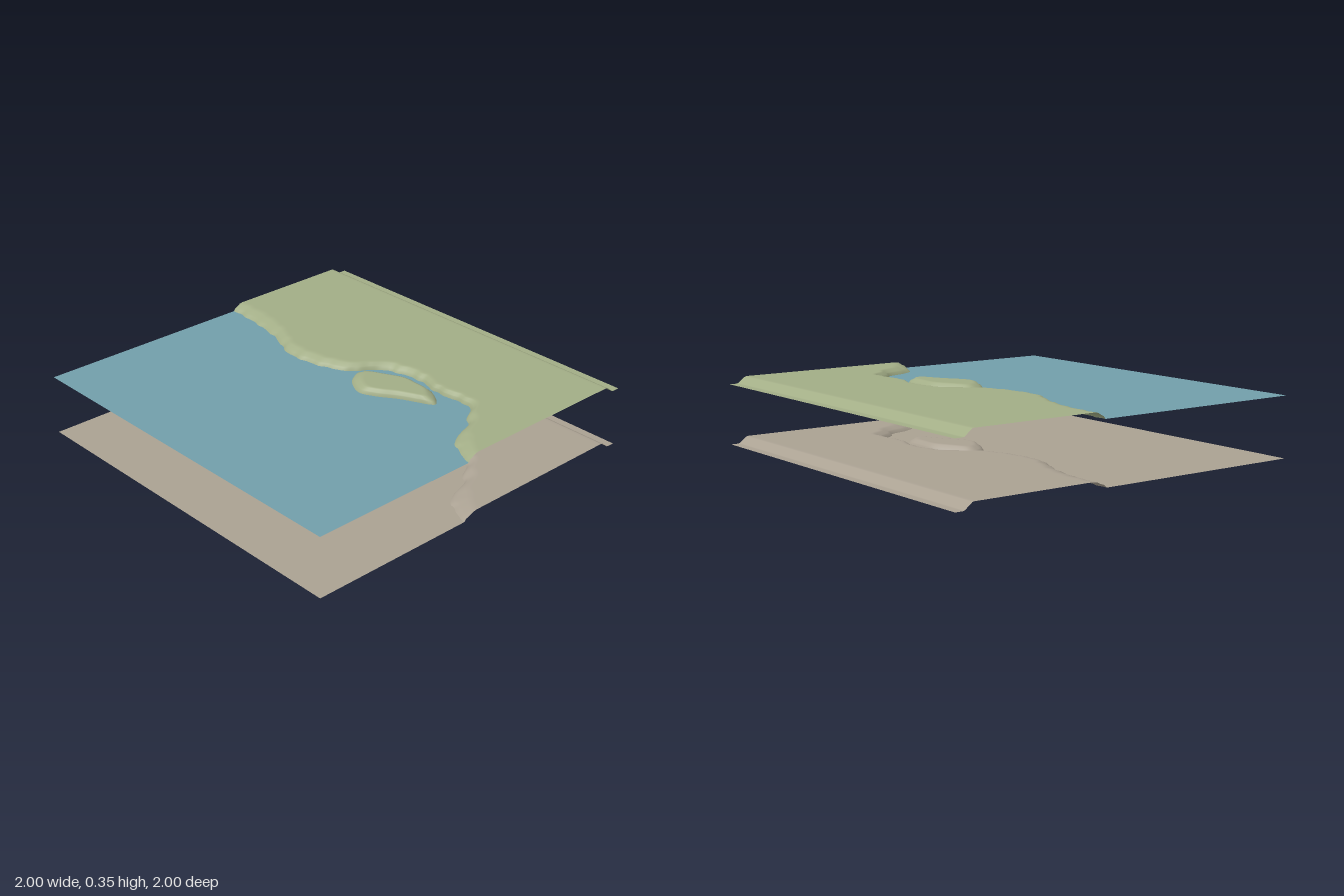
import * as THREE from 'three';

const RISE = 0.035;   // height of the land above the flat level
const SAMPLES = 150;

// Shoreline control points: [foot x, foot z, crest x, crest z]
const SHORE = [
  [-1, -0.175, -1, -0.235], [-0.88, -0.17, -0.89, -0.235], [-0.75, -0.155, -0.77, -0.23],
  [-0.6, -0.125, -0.6, -0.185], [-0.5, -0.085, -0.5, -0.14], [-0.4, -0.05, -0.41, -0.105],
  [-0.28, -0.055, -0.3, -0.105], [-0.17, -0.08, -0.19, -0.125], [-0.08, -0.12, -0.1, -0.16],
  [-0.02, -0.165, -0.04, -0.2], [0.02, -0.235, 0, -0.255], [0.08, -0.285, 0.06, -0.32],
  [0.16, -0.315, 0.15, -0.35], [0.25, -0.33, 0.25, -0.365], [0.33, -0.322, 0.34, -0.35],
  [0.41, -0.303, 0.42, -0.325], [0.52, -0.308, 0.53, -0.335], [0.61, -0.315, 0.64, -0.338],
  [0.66, -0.29, 0.69, -0.31], [0.7, -0.225, 0.73, -0.25], [0.76, -0.165, 0.79, -0.2],
  [0.795, -0.06, 0.84, -0.1], [0.85, 0.015, 0.9, -0.05], [0.93, 0.055, 0.95, -0.01],
  [1, 0.09, 1, 0.03],
];
// Outline of the island at its foot
const ISLAND = [
  [0.015, -0.165], [0.12, -0.225], [0.235, -0.278], [0.34, -0.28], [0.43, -0.272], [0.5, -0.22],
  [0.49, -0.19], [0.43, -0.16], [0.34, -0.115], [0.25, -0.055], [0.165, -0.02], [0.085, -0.05],
  [0.03, -0.1],
];
const ISLAND_CENTRE = [0.25, -0.16];

// Smooth line through [x, z] points
function sample(points, closed = false) {
  const curve = new THREE.CatmullRomCurve3(
    points.map(([x, z]) => new THREE.Vector3(x, 0, z)), closed, 'catmullrom', 0.5);
  return curve.getPoints(SAMPLES);
}

// Surface through rows of equal length, with smooth normals
function loft(rows) {
  const n = rows[0].length;
  const index = [];
  for (let r = 0; r < rows.length - 1; r++) {
    for (let i = 0; i < n - 1; i++) {
      const a = r * n + i, b = a + n;
      index.push(a, b, a + 1, a + 1, b, b + 1);
    }
  }
  const geometry = new THREE.BufferGeometry().setFromPoints(rows.flat());
  geometry.setIndex(index);
  geometry.computeVertexNormals();
  return geometry;
}

// Rounded bank from crest to foot: [fraction of width, fraction of height]
const BANK = [[0, 1], [0.3, 0.9], [0.65, 0.52], [0.82, 0.42], [1, 0]];

function makeSheet(name, spread, landMaterial, flatMaterial, flatName) {
  const sheet = new THREE.Group();
  sheet.name = name;
  const add = (geometry, material, label) => {
    const mesh = new THREE.Mesh(geometry, material);
    mesh.name = label;
    sheet.add(mesh);
  };

  // Shoreline foot and crest with a light ripple
  const ripple = (p, shift) => {
    p.x = THREE.MathUtils.clamp(p.x, -1, 1);
    p.z += shift + 0.004 * Math.sin(p.x * 55) + 0.002 * Math.sin(p.x * 97 + 1);
    return p;
  };
  const foot = sample(SHORE.map(p => [p[0], p[1]])).map(p => ripple(p, spread));
  const crest = sample(SHORE.map(p => [p[2], p[3]])).map(p => ripple(p, -spread));

  // Mainland: low rear lip, rear slope, plateau and bank
  const straight = (z, y) => crest.map(p => new THREE.Vector3(p.x, y, z));
  const bank = BANK.map(([t, h]) => crest.map((p, i) => {
    const v = p.clone().lerp(foot[i], t);
    v.y = h * RISE;
    return v;
  }));
  const plateauEdge = crest.map(p => new THREE.Vector3(p.x, RISE, p.z - 0.015));
  add(loft([
    straight(-1, 0), straight(-0.96, 0), straight(-0.95, 0.002), straight(-0.91, RISE - 0.002),
    straight(-0.9, RISE), straight(-0.885, RISE), plateauEdge, ...bank,
  ]), landMaterial, 'mainland');

  // Island: flat top and bank all round
  const outline = sample([...ISLAND].reverse(), true);
  const [cx, cz] = ISLAND_CENTRE;
  const ring = (scale, y) => outline.map(p =>
    new THREE.Vector3(cx + (p.x - cx) * scale, y, cz + (p.z - cz) * scale));
  add(loft([
    ring(0, RISE), ring(0.68, RISE), ring(0.74, RISE),
    ...BANK.slice(1).map(([t, h]) => ring(0.74 + 0.26 * t, h * RISE)),
  ]), landMaterial, 'island');

  // Flat level in front of the shore, open under the island
  const flat = p => new THREE.Vector2(p.x, -p.z);
  const shape = new THREE.Shape([
    ...foot.map(flat), new THREE.Vector2(1, -1), new THREE.Vector2(-1, -1),
  ]);
  shape.holes.push(new THREE.Path(outline.slice(0, -1).map(flat)));
  add(new THREE.ShapeGeometry(shape).rotateX(-Math.PI / 2), flatMaterial, flatName);
  return sheet;
}

export function createModel() {
  const material = (name, color) => {
    const m = new THREE.MeshStandardMaterial({ color, side: THREE.DoubleSide });
    m.name = name;
    return m;
  };
  const grass = material('grass green', 0xa2ad86);
  const water = material('water blue', 0x729eaa);
  const earth = material('earth taupe', 0xaaa192);

  const model = new THREE.Group();
  model.name = 'layeredCoast';
  const upper = makeSheet('upperSheet', 0, grass, water, 'water');
  upper.position.y = 0.315;
  model.add(upper, makeSheet('lowerSheet', 0.012, earth, earth, 'seabed'));
  return model;
}
